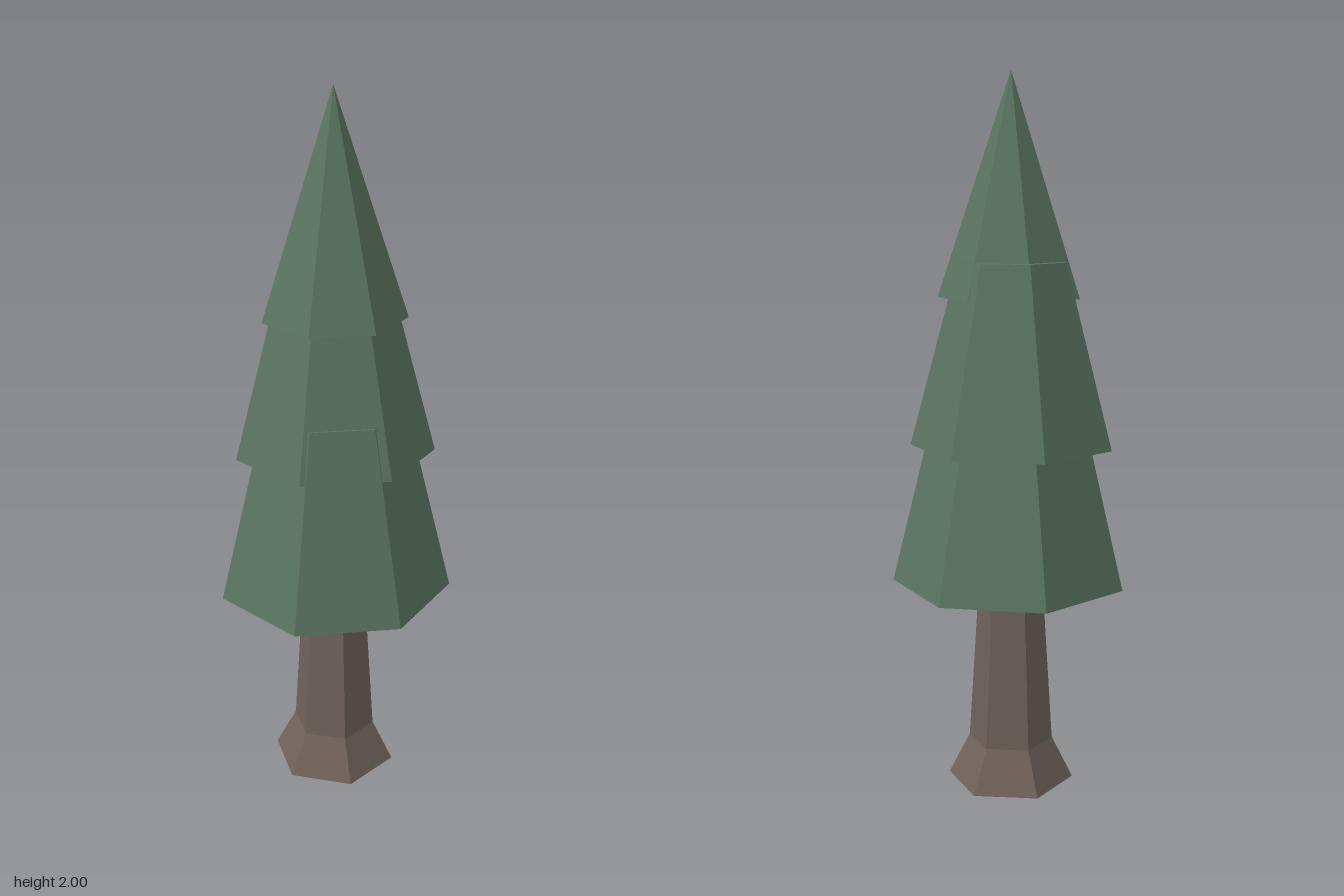
import * as THREE from 'three';

export function createModel() {
  const tree = new THREE.Group();
  tree.name = 'pineTree';

  const needles = new THREE.MeshStandardMaterial({ color: 0x5a7461 });
  needles.name = 'needleGreen';
  needles.flatShading = true;
  const bark = new THREE.MeshStandardMaterial({ color: 0x6f625a });
  bark.name = 'barkBrown';
  bark.flatShading = true;

  // Tapered prism between two heights, with one corner pointing to +x
  function addTaper(name, material, sides, y0, y1, r0, r1, x, z) {
    const geometry = new THREE.CylinderGeometry(r1, r0, y1 - y0, sides);
    geometry.rotateY(Math.PI / 2);
    const mesh = new THREE.Mesh(geometry, material);
    mesh.name = name;
    mesh.position.set(x, (y0 + y1) / 2, z);
    tree.add(mesh);
  }

  const axis = -0.017;

  // Six-sided trunk with a flared foot
  addTaper('trunkFoot', bark, 6, 0, 0.12, 0.18, 0.12, axis, 0);
  addTaper('trunk', bark, 6, 0.12, 0.65, 0.12, 0.087, axis, 0);

  // Seven-sided foliage tiers; the middle one sits off centre
  addTaper('lowerFoliage', needles, 7, 0.6, 1.14, 0.333, 0.2, axis, 0);
  addTaper('middleFoliage', needles, 7, 1.0, 1.5, 0.284, 0.15, 0.016, -0.033);
  addTaper('topFoliage', needles, 7, 1.4, 2.0, 0.2, 0, axis, 0);

  return tree;
}
